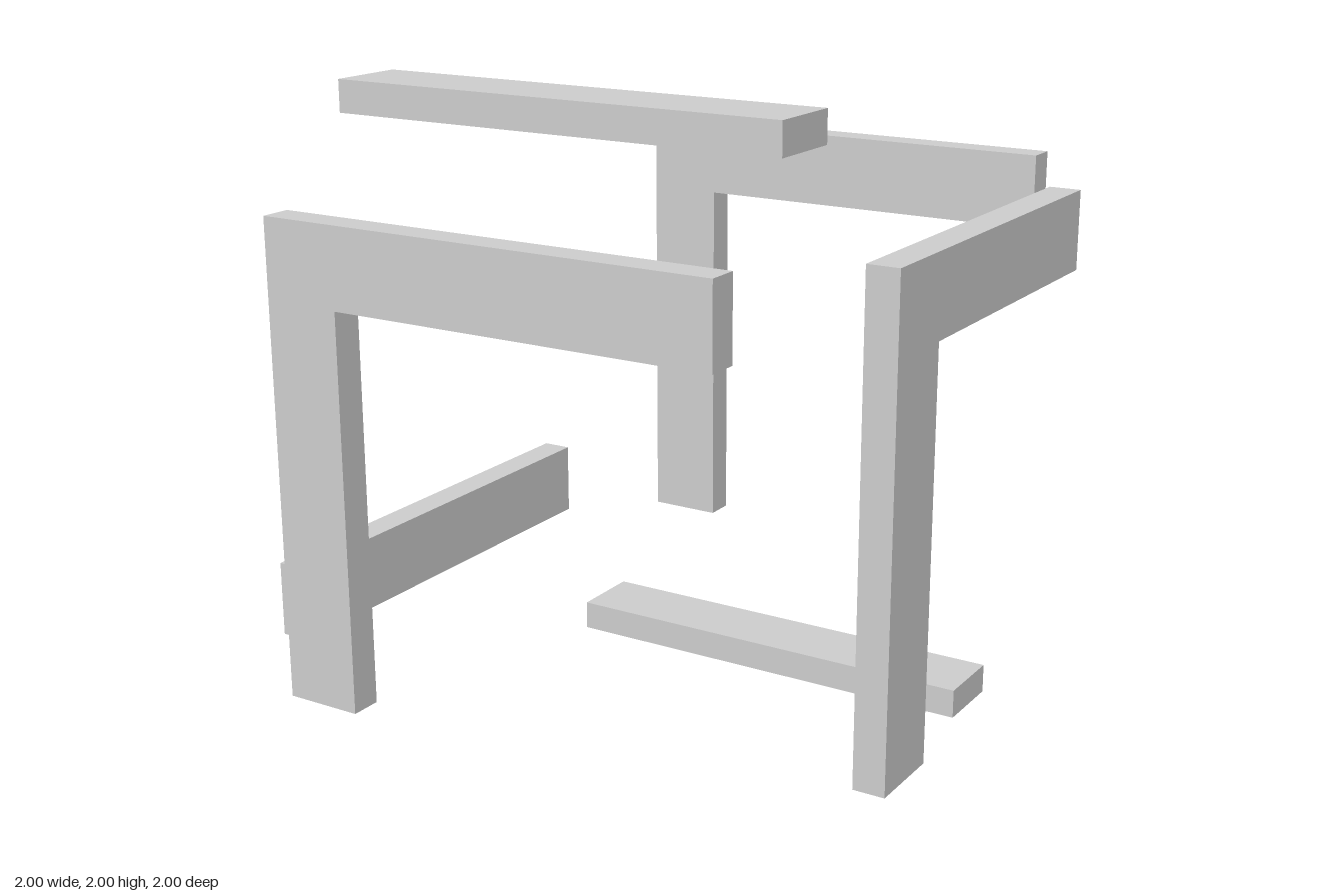
import * as THREE from 'three';

const U = 1 / 22; // grid module: all sizes are whole multiples of it

export function createModel() {
  const group = new THREE.Group();
  const material = new THREE.MeshStandardMaterial({ color: 0xcccccc, flatShading: true });

  const add = (name, geometry) => {
    const mesh = new THREE.Mesh(geometry, material);
    mesh.name = name;
    group.add(mesh);
    return mesh;
  };

  // Straight bar between two opposite corners, in modules
  const bar = (name, [x0, y0, z0], [x1, y1, z1]) => {
    const mesh = add(name, new THREE.BoxGeometry((x1 - x0) * U, (y1 - y0) * U, (z1 - z0) * U));
    mesh.position.set((x0 + x1) * U / 2, (y0 + y1) * U / 2, (z0 + z1) * U / 2);
  };

  // Inverted L: post on the left, top arm reaching to armEnd, extruded from z0 by 2 modules
  const bracket = (name, armEnd, z0) => {
    const outline = [[-15, 7], [-10, 7], [-10, 32], [armEnd, 32], [armEnd, 37], [-15, 37]];
    const shape = new THREE.Shape(outline.map(([x, y]) => new THREE.Vector2(x * U, y * U)));
    const geometry = new THREE.ExtrudeGeometry(shape, { depth: 2 * U, bevelEnabled: false });
    return add(name, geometry.translate(0, 0, z0 * U));
  };

  // Brackets on the front, back and +x faces of the cube
  bracket('frontBracket', 15, 20);
  bracket('backBracket', 15, -22);
  bracket('leftBracket', 10, 20).rotation.y = Math.PI / 2;

  // Single bars on the top, bottom and -x faces
  bar('topBar', [-15, 42, 10], [15, 44, 15]);
  bar('bottomBar', [-15, 0, -15], [15, 2, -10]);
  bar('rightBar', [-22, 7, -15], [-20, 12, 15]);

  return group;
}
